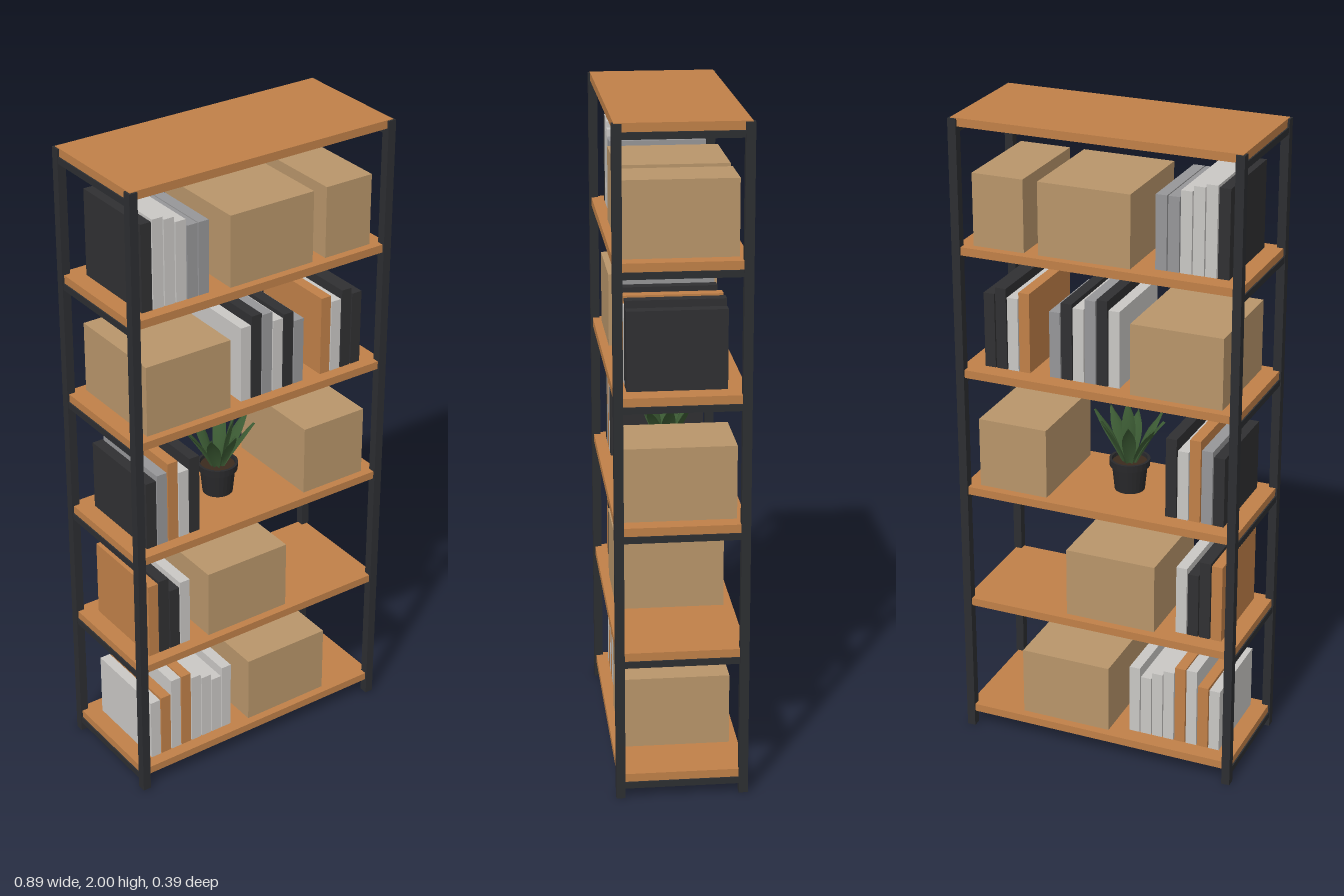
import * as THREE from 'three';

const mat = (name, color, side = THREE.FrontSide) => {
  const m = new THREE.MeshStandardMaterial({ color, side });
  m.name = name;
  return m;
};

export function createModel() {
  const metal = mat('black metal', 0x2c2e31);
  const wood = mat('orange wood', 0xc08048);
  const card = mat('cardboard', 0xb8956a);
  const black = mat('black cover', 0x303032);
  const pale = mat('pale cover', 0xc9c7c4);
  const grey = mat('grey cover', 0x969698);
  const potMat = mat('dark pot', 0x29292b);
  const soilMat = mat('soil', 0x3a2a1e);
  const leafMat = mat('leaf green', 0x3b5a33, THREE.DoubleSide);
  const covers = { b: black, p: pale, g: grey, o: wood };

  const model = new THREE.Group();
  model.name = 'shelvingUnit';
  // box given by its centre in x and z and its bottom in y
  const box = (name, material, w, h, d, x, y, z) => {
    const mesh = new THREE.Mesh(new THREE.BoxGeometry(w, h, d), material);
    mesh.name = name;
    mesh.position.set(x, y + h / 2, z);
    model.add(mesh);
  };

  // corner posts
  for (const sx of [-1, 1])
    for (const sz of [-1, 1])
      box('post', metal, 0.026, 1.998, 0.027, sx * 0.432, 0, sz * 0.1815);

  // shelves, each carried by a rail at both ends
  const shelfTop = (i) => 0.075 + i * 0.385;
  for (let i = 0; i < 6; i++) {
    box('shelf', wood, 0.878, 0.025, 0.378, 0, shelfTop(i) - 0.025, 0);
    for (const sx of [-1, 1])
      box('shelfRail', metal, 0.022, 0.02, 0.34, sx * 0.432, shelfTop(i) - 0.0452, 0);
  }

  // storage boxes: shelf index, left edge, right edge
  const boxes = [
    [0, -0.03, 0.26], [1, -0.18, 0.108], [2, 0.17, 0.39],
    [3, -0.385, -0.1], [4, -0.1, 0.185], [4, 0.23, 0.39],
  ];
  for (const [i, x0, x1] of boxes)
    box('storageBox', card, x1 - x0, 0.22, 0.326, (x0 + x1) / 2, shelfTop(i), 0.001);

  // rows of books: shelf index, left edge, cover letters, heights
  const rows = [
    [0, -0.386, 'popopppp', [0.206, 0.21, 0.259, 0.259, 0.238, 0.222, 0.2, 0.228]],
    [1, -0.386, 'obbp', [0.249, 0.254, 0.206, 0.222]],
    [2, -0.386, 'bgopb', [0.22, 0.235, 0.262, 0.22, 0.254]],
    [3, -0.055, 'pbgpbg', [0.238, 0.265, 0.259, 0.228, 0.238, 0.206]],
    [3, 0.23, 'opbb', [0.249, 0.228, 0.254, 0.233]],
    [4, -0.386, 'bpppgg', [0.265, 0.27, 0.26, 0.243, 0.222, 0.222]],
  ];
  for (const [i, x0, letters, heights] of rows)
    heights.forEach((h, k) =>
      box('book', covers[letters[k]], 0.034, h, 0.287, x0 + 0.017 + k * 0.0375, shelfTop(i), 0.009));

  // potted plant
  const plant = new THREE.Group();
  plant.name = 'plant';
  plant.position.set(-0.032, shelfTop(2), 0);
  const pot = new THREE.Mesh(new THREE.LatheGeometry(
    [[0, 0], [0.046, 0], [0.054, 0.078], [0.061, 0.078], [0.062, 0.1], [0.054, 0.1], [0.053, 0.088]]
      .map(([r, y]) => new THREE.Vector2(r, y)), 24).toNonIndexed(), potMat);
  pot.geometry.computeVertexNormals();
  pot.name = 'pot';
  const soil = new THREE.Mesh(new THREE.CircleGeometry(0.054, 24).rotateX(-Math.PI / 2), soilMat);
  soil.name = 'soil';
  soil.position.y = 0.089;
  plant.add(pot, soil);

  // pointed blade, wide in the middle, folded along its centre and bending outward
  const leafGeometry = (length, width) => {
    const g = new THREE.PlaneGeometry(1, 1, 2, 8);
    const p = g.attributes.position;
    for (let i = 0; i < p.count; i++) {
      const t = p.getY(i) + 0.5, u = p.getX(i) * 2;
      const w = width * (t < 0.55 ? 0.4 + 0.6 * Math.sin(t / 0.55 * Math.PI / 2)
        : Math.cos((t - 0.55) / 0.45 * Math.PI / 2));
      p.setXYZ(i, u * w / 2, t * length, 0.025 * t * t - 0.008 * (1 - Math.abs(u)));
    }
    g.computeVertexNormals();
    return g;
  };
  // leaves: heading in degrees from the front, lean, length
  const leaves = [
    [-90, 0.42, 0.175], [-45, 0.4, 0.165], [5, 0.3, 0.15], [55, 0.42, 0.17],
    [92, 0.42, 0.18], [140, 0.34, 0.17], [200, 0.32, 0.17], [245, 0.42, 0.165], [30, 0.06, 0.18],
  ];
  for (const [deg, lean, length] of leaves) {
    const a = THREE.MathUtils.degToRad(deg);
    const leaf = new THREE.Mesh(leafGeometry(length, 0.042), leafMat);
    leaf.name = 'leaf';
    leaf.rotation.set(lean, a, 0, 'YXZ');
    leaf.position.set(Math.sin(a) * 0.02, 0.087, Math.cos(a) * 0.02);
    plant.add(leaf);
  }
  model.add(plant);
  return model;
}
